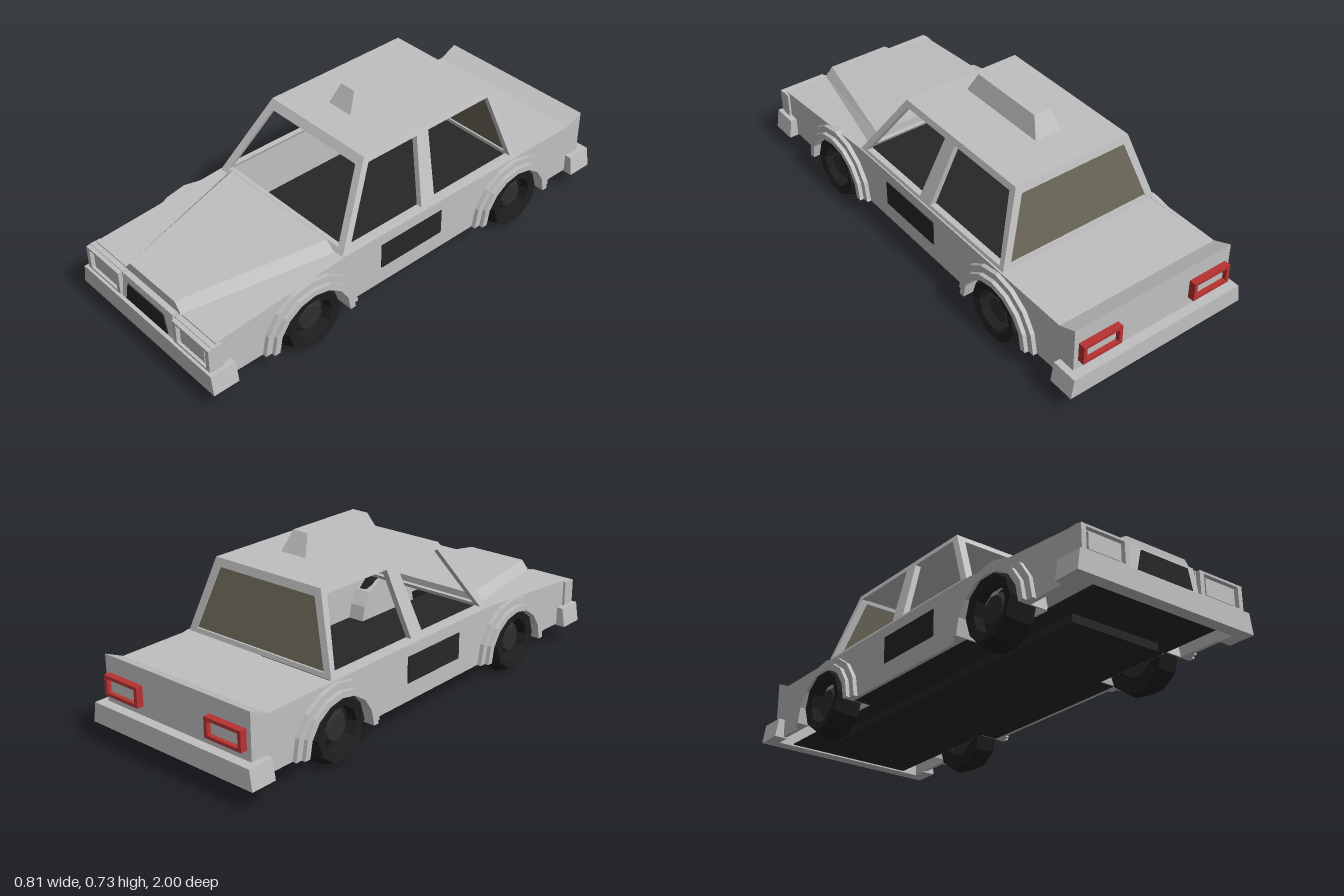
import * as THREE from 'three';

const mat = (name, color, side = THREE.DoubleSide) => {
  const m = new THREE.MeshStandardMaterial({ color, side });
  m.name = name;
  return m;
};

export function createModel() {
  const car = new THREE.Group();
  car.name = 'taxi';
  const paint = mat('grey paint', 0xc0c0c0);
  const black = mat('black trim', 0x272727);
  const rubber = mat('tyre rubber', 0x1e1e1e);
  const hubGrey = mat('dark hub', 0x2e2e2e);
  const glass = mat('tinted glass', 0x6b6759);
  const red = mat('tail light red', 0xb83232);

  // flat-faceted mesh
  const add = (name, geo, material) => {
    const g = geo.index ? geo.toNonIndexed() : geo;
    g.computeVertexNormals();
    const m = new THREE.Mesh(g, material);
    m.name = name;
    car.add(m);
    return m;
  };
  // same part on the other side, with the winding restored
  const mirrored = (geo) => {
    const g = geo.index ? geo.toNonIndexed() : geo.clone();
    const p = g.attributes.position;
    for (let i = 0; i < p.count; i += 3) {
      const t = [0, 2, 1].map((k) => [p.getX(i + k), p.getY(i + k), p.getZ(i + k)]);
      t.forEach((v, k) => p.setXYZ(i + k, -v[0], v[1], v[2]));
    }
    return g;
  };
  const addPair = (name, geo, material) => {
    add(name + 'Right', mirrored(geo), material);
    add(name + 'Left', geo, material);
  };
  const warp = (geo, rule) => {
    const p = geo.attributes.position;
    for (let i = 0; i < p.count; i++) p.setXYZ(i, ...rule(p.getX(i), p.getY(i), p.getZ(i)));
    return geo;
  };
  const poly = (pts) => new THREE.Shape(pts.map(([x, y]) => new THREE.Vector2(x, y)));
  const withHoles = (shape, ...holes) => {
    holes.forEach((h) => shape.holes.push(poly(h)));
    return shape;
  };
  const slab = (shape) => new THREE.ExtrudeGeometry(shape, { depth: 1, bevelEnabled: false, curveSegments: 4 });
  // a (z, y) outline given thickness from x = inner to x = outer
  const sideSlab = (shape, inner, outer) =>
    warp(slab(shape), (a, y, d) => [outer - d * (outer - inner), y, a]);
  const frontSlab = (shape, z0, z1) => warp(slab(shape), (x, y, d) => [x, y, z0 + d * (z1 - z0)]);
  // eight corners: bottom four, then top four, each from front left around
  const hexa = (pts) => {
    const g = new THREE.BufferGeometry();
    g.setAttribute('position', new THREE.Float32BufferAttribute(pts.flat(), 3));
    const quads = [[0, 1, 5, 4], [1, 2, 6, 5], [2, 3, 7, 6], [3, 0, 4, 7], [4, 5, 6, 7], [3, 2, 1, 0]];
    g.setIndex(quads.flatMap(([a, b, c, d]) => [a, b, c, a, c, d]));
    return g;
  };
  const ring = (x0, x1, y, z0, z1) => [[x0, y, z1], [x1, y, z1], [x1, y, z0], [x0, y, z0]];
  const box = (x0, x1, y0, y1, z0, z1) => hexa([...ring(x0, x1, y0, z0, z1), ...ring(x0, x1, y1, z0, z1)]);
  // sheet across the body following a (z, y) line
  const sheet = (line, w) => {
    const g = new THREE.PlaneGeometry(2 * w, 1, 1, line.length - 1);
    const p = g.attributes.position;
    line.forEach(([z, y], i) => {
      p.setXYZ(2 * i, -w, y, z);
      p.setXYZ(2 * i + 1, w, y, z);
    });
    return g;
  };

  const W = 0.365, AXLES = [0.53, -0.545], ARCH = 0.17;

  // lower body sides with wheel openings
  const side = new THREE.Shape();
  side.moveTo(0.95, 0.1);
  AXLES.forEach((z) => {
    side.lineTo(z + ARCH, 0.1);
    side.absarc(z, 0.1, ARCH, 0, Math.PI, false);
  });
  [[-0.96, 0.1], [-0.96, 0.36], [-0.88, 0.325], [0.365, 0.33], [0.95, 0.285]].forEach((q) => side.lineTo(...q));
  addPair('bodySide', sideSlab(side, W - 0.015, W), paint);

  // deck sheets and raised bonnet
  add('bonnetAndNose', sheet([[0.95, 0.1], [0.95, 0.285], [0.365, 0.33]].reverse(), W), paint);
  add('bootAndTail', sheet([[-0.96, 0.1], [-0.96, 0.36], [-0.88, 0.325], [-0.555, 0.325]], W), paint);
  add('bonnetBulge', hexa([
    [-0.17, 0.283, 0.952], [0.17, 0.283, 0.952], [0.32, 0.328, 0.37], [-0.32, 0.328, 0.37],
    [-0.137, 0.323, 0.952], [0.137, 0.323, 0.952], [0.28, 0.367, 0.37], [-0.28, 0.367, 0.37],
  ]), paint);

  // floor and chassis
  add('floorCentre', box(-0.28, 0.28, 0.1, 0.106, -0.95, 0.94), black);
  add('floorMiddle', box(-0.35, 0.35, 0.1, 0.105, -0.37, 0.355), black);
  add('chassis', box(-0.2, 0.2, 0.068, 0.1, -0.73, 0.74), black);

  // cabin: leaning walls with window openings
  const lean = (a, b, y) => a + ((b - a) * (y - 0.33)) / 0.3;
  const cabinSide = withHoles(
    poly([[0.365, 0.33], [-0.56, 0.33], [-0.5, 0.63], [0.17, 0.63]]),
    [[0.325, 0.343], [-0.04, 0.343], [-0.09, 0.605], [0.155, 0.605]],
    [[-0.11, 0.343], [-0.535, 0.343], [-0.475, 0.605], [-0.15, 0.605]],
  );
  addPair('cabinSide', warp(slab(cabinSide), (a, y, d) => [lean(0.36, 0.26, y) - d * 0.025, y, a]), paint);
  const endWall = () => withHoles(
    poly([[-0.36, 0.33], [0.36, 0.33], [0.26, 0.63], [-0.26, 0.63]]),
    [[-0.322, 0.348], [0.322, 0.348], [0.237, 0.597], [-0.237, 0.597]],
  );
  add('windscreenFrame', warp(slab(endWall()), (x, y, d) => [x, y, lean(0.365, 0.17, y) - 0.02 + d * 0.02]), paint);
  add('rearWindowFrame', warp(slab(endWall()), (x, y, d) => [x, y, lean(-0.56, -0.5, y) + d * 0.02]), paint);
  const pane = poly([[-0.325, 0.342], [0.325, 0.342], [0.239, 0.6], [-0.239, 0.6]]);
  add('rearWindow', warp(slab(pane), (x, y, d) => [x, y, lean(-0.56, -0.5, y) + 0.008 + d * 0.004]), glass);
  add('roof', box(-0.26, 0.26, 0.612, 0.63, -0.5, 0.17), paint);

  // roof sign
  add('roofSign', hexa([...ring(-0.06, 0.06, 0.658, -0.36, 0.055), ...ring(-0.036, 0.036, 0.738, -0.32, 0.015)]), paint);

  // door panels
  addPair('doorPanel', box(W, W + 0.004, 0.175, 0.282, -0.14, 0.175), black);

  // bumpers with side returns
  [1, -1].forEach((s) => {
    const end = s > 0 ? 'front' : 'rear';
    const bar = s > 0 ? [0.95, 1] : [-1, -0.95];
    const wrap = s > 0 ? [0.89, 0.95] : [-0.95, -0.89];
    add(end + 'Bumper', hexa([...ring(-0.405, 0.405, 0.094, ...bar), ...ring(-0.392, 0.392, 0.175, ...bar)]), paint);
    addPair(end + 'BumperReturn',
      hexa([...ring(0.35, 0.405, 0.094, ...wrap), ...ring(0.35, 0.392, 0.175, ...wrap)]), paint);
  });

  // nose: grille panel and framed headlights
  add('grillePanel', hexa([...ring(-0.16, 0.16, 0.175, 0.95, 0.985), ...ring(-0.15, 0.15, 0.283, 0.95, 0.975)]), paint);
  const grille = poly([[-0.127, 0.184], [0.127, 0.184], [0.108, 0.264], [-0.108, 0.264]]);
  add('grille', frontSlab(grille, 0.984, 0.989), black);
  addPair('headlightHousing', box(0.16, 0.375, 0.175, 0.28, 0.93, 0.972), paint);
  const rect = (x0, x1, y0, y1) => [[x0, y0], [x1, y0], [x1, y1], [x0, y1]];
  addPair('headlightFrame',
    frontSlab(withHoles(poly(rect(0.165, 0.375, 0.178, 0.277)), rect(0.185, 0.355, 0.186, 0.268)), 0.972, 0.99), paint);
  addPair('headlight', hexa([
    [0.185, 0.186, 0.972], [0.355, 0.186, 0.972], [0.355, 0.186, 0.97], [0.185, 0.186, 0.97],
    [0.185, 0.268, 0.972], [0.355, 0.268, 0.972], [0.355, 0.268, 0.97], [0.185, 0.268, 0.97],
  ]), paint);
  addPair('headlightLens', box(0.2, 0.338, 0.194, 0.26, 0.97, 0.982), paint);

  // tail lights: red surround, pale centre
  addPair('tailLightFrame',
    frontSlab(withHoles(poly(rect(0.17, 0.345, 0.213, 0.293)), rect(0.185, 0.33, 0.226, 0.28)), -0.988, -0.958), red);
  addPair('tailLightCentre', box(0.183, 0.332, 0.224, 0.282, -0.97, -0.958), paint);

  // wheels, arches and inner wells
  const arc = (z, inner, outer) => {
    const s = new THREE.Shape();
    s.absarc(z, 0.1, outer, 0, Math.PI, false);
    if (inner) s.absarc(z, 0.1, inner, Math.PI, 0, true);
    return s;
  };
  AXLES.forEach((z, i) => {
    const end = i ? 'rear' : 'front';
    addPair(end + 'ArchOuter', sideSlab(arc(z, ARCH, 0.222), 0.35, 0.383), paint);
    addPair(end + 'ArchLip', sideSlab(arc(z, ARCH, 0.195), 0.35, 0.4), paint);
    addPair(end + 'WheelWell', sideSlab(arc(z, ARCH, 0.176), 0.28, 0.355), paint);
    addPair(end + 'WellWall', sideSlab(arc(z, 0, 0.176), 0.275, 0.281), paint);

    const profile = [[0.08, -0.045], [0.142, -0.05], [0.146, -0.01], [0.122, 0.052], [0.088, 0.045], [0.08, 0.01]];
    const tyre = new THREE.LatheGeometry(profile.map(([r, h]) => new THREE.Vector2(r, h)), 10);
    tyre.rotateZ(-Math.PI / 2).translate(0.343, 0.146, z);
    addPair(end + 'Tyre', tyre, rubber);
    const hub = new THREE.CylinderGeometry(0.05, 0.088, 0.05, 10);
    hub.rotateZ(-Math.PI / 2).translate(0.345, 0.146, z);
    addPair(end + 'Hub', hub, hubGrey);
  });

  return car;
}
